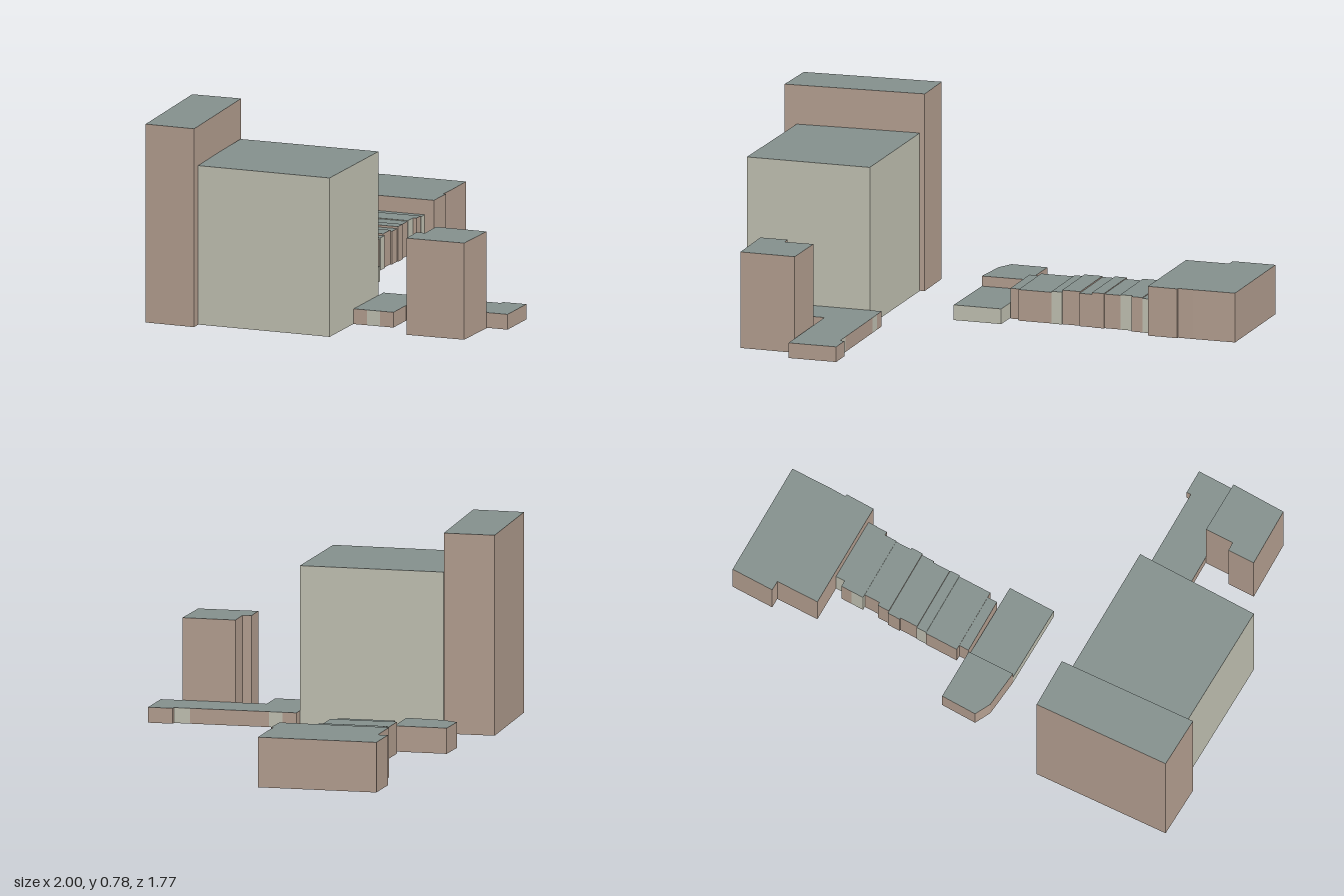
import * as THREE from 'three';

const material = (name, color) => {
  const m = new THREE.MeshStandardMaterial({ color, side: THREE.DoubleSide });
  m.name = name;
  return m;
};

// Upright walls along a closed footprint of [x, z] corners, open below
function wallGeometry(corners, height) {
  const pos = [], index = [];
  corners.forEach(([ax, az], i) => {
    const [bx, bz] = corners[(i + 1) % corners.length];
    pos.push(ax, 0, az, bx, 0, bz, bx, height, bz, ax, height, az);
    const k = i * 4;
    index.push(k, k + 1, k + 2, k, k + 2, k + 3);
  });
  const g = new THREE.BufferGeometry();
  g.setAttribute('position', new THREE.Float32BufferAttribute(pos, 3));
  g.setIndex(index);
  g.computeVertexNormals();
  return g;
}

// Flat roof over the same footprint
function roofGeometry(points, height) {
  return new THREE.ShapeGeometry(new THREE.Shape(points)).rotateX(-Math.PI / 2).translate(0, height, 0);
}

// Rectangle in the slanted street grid: s runs along the row, t towards the front
const rect = (ox, oz, s0, s1, t0, t1) =>
  [[s0, t0], [s0, t1], [s1, t1], [s1, t0]].map(([s, t]) => [ox + 0.92 * s + 0.392 * t, oz - 0.392 * s + 0.92 * t]);

export function createModel() {
  const model = new THREE.Group();
  model.name = 'cityBlock';
  const brown = material('brownWall', 0xb5a091);
  const cream = material('creamWall', 0xc2c2b3);
  const slate = material('slateRoof', 0x84908d);

  function building(name, corners, height, wall) {
    let pts = corners.map(([x, z]) => new THREE.Vector2(x, -z));
    if (THREE.ShapeUtils.area(pts) < 0) pts = pts.reverse();
    const group = new THREE.Group();
    group.name = name;
    const walls = new THREE.Mesh(wallGeometry(pts.map(p => [p.x, -p.y]), height), wall);
    walls.name = 'walls';
    const roof = new THREE.Mesh(roofGeometry(pts, height), slate);
    roof.name = 'roof';
    group.add(walls, roof);
    model.add(group);
  }

  // Large blocks
  building('tallBlock', [[-0.505, -0.437], [-0.425, -0.252], [-0.927, -0.005], [-1, -0.195]], 0.78, brown);
  building('creamBlock', [[-0.885, -0.03], [-0.44, -0.24], [-0.22, 0.288], [-0.68, 0.483]], 0.625, cream);

  // Notched tower house at the front
  building('towerHouse', [[-0.445, 0.665], [-0.345, 0.62], [-0.33, 0.652], [-0.225, 0.605], [-0.145, 0.8], [-0.35, 0.883]], 0.38, brown);

  // Row of garages: three long bays, five short ones and a wider end bay
  for (let i = 0; i < 8; i++) {
    const t0 = i < 3 ? i * 0.0547 : 0.164 + (i - 3) * 0.0644;
    const t1 = i < 3 ? t0 + 0.0547 : t0 + 0.0644;
    building('garage', rect(-0.175, 0.27, i < 3 ? -0.305 : -0.175, 0, t0, t1), 0.06, i === 1 || i === 7 ? cream : brown);
  }
  building('endGarage', rect(-0.175, 0.27, -0.175, 0.018, 0.486, 0.584), 0.06, brown);

  // Low pair of outbuildings beside the terrace
  building('rearAnnex', [[-0.2, -0.425], [-0.195, -0.495], [-0.06, -0.55], [0.02, -0.358], [-0.155, -0.28]], 0.1, brown);
  building('lowAnnex', [[-0.155, -0.28], [0.02, -0.358], [0.14, -0.065], [-0.038, 0.01]], 0.06, cream);

  // Terrace units: start, end, back, front, height, wall
  const terrace = [
    [0, 0.04, 0, 0.225, 0.12, brown],
    [0.04, 0.176, -0.02, 0.245, 0.123, brown],
    [0.176, 0.217, -0.018, 0.248, 0.128, cream],
    [0.217, 0.29, -0.016, 0.243, 0.135, brown],
    [0.29, 0.342, -0.021, 0.25, 0.13, brown],
    [0.342, 0.39, -0.014, 0.254, 0.138, brown],
    [0.39, 0.455, 0, 0.248, 0.135, brown],
    [0.455, 0.505, -0.014, 0.25, 0.138, cream],
    [0.505, 0.55, -0.014, 0.264, 0.138, brown],
    [0.55, 0.64, 0.012, 0.266, 0.135, cream]
  ];
  for (const [s0, s1, t0, t1, h, wall] of terrace)
    building('terraceHouse', rect(0.02, -0.36, s0, s1, t0, t1), h, wall);

  // Pair of houses closing the terrace
  building('endHouseLeft', [[0.51, -0.713], [0.67, -0.783], [0.841, -0.386], [0.785, -0.364], [0.788, -0.355], [0.678, -0.31]], 0.195, brown);
  building('endHouseRight', [[0.67, -0.783], [0.655, -0.82], [0.815, -0.888], [0.998, -0.455], [0.841, -0.386]], 0.195, brown);

  return model;
}
